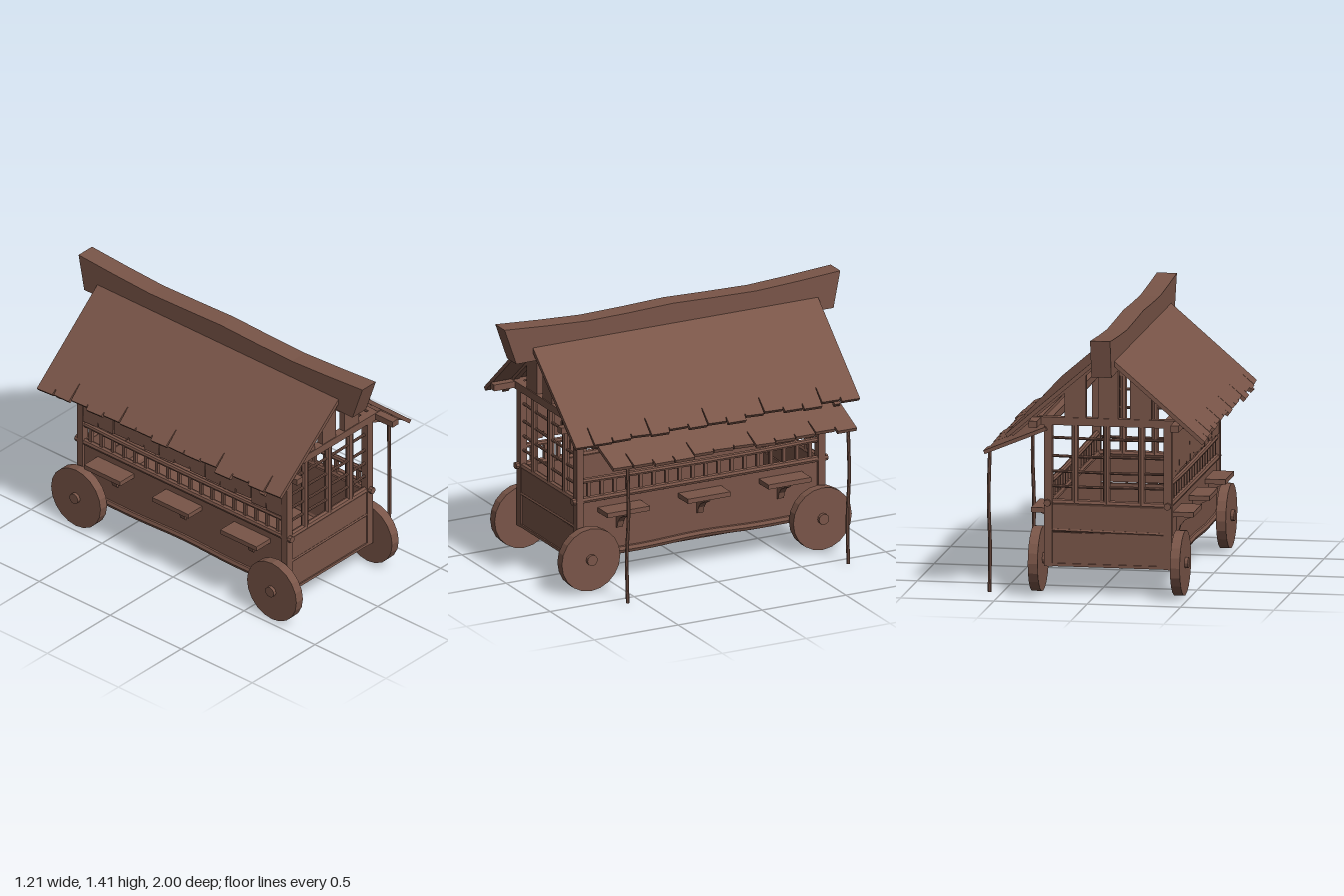
import * as THREE from 'three';

const wood = new THREE.MeshStandardMaterial({ color: 0x795548, flatShading: true });
wood.name = 'brown wood';

let seed = 7;
const rand = () => (seed = (seed * 16807) % 2147483647) / 2147483647;

function add(parent, name, geometry, x = 0, y = 0, z = 0) {
  const mesh = new THREE.Mesh(geometry, wood);
  mesh.name = name;
  mesh.position.set(x, y, z);
  parent.add(mesh);
  return mesh;
}

const box = (parent, name, w, h, d, x, y, z) =>
  add(parent, name, new THREE.BoxGeometry(w, h, d), x, y, z);

// Round pole between two points
function log(parent, name, a, b, r, sides = 8) {
  const p = new THREE.Vector3(...a), q = new THREE.Vector3(...b);
  const mesh = add(parent, name, new THREE.CylinderGeometry(r, r, p.distanceTo(q), sides));
  mesh.position.copy(p).add(q).multiplyScalar(0.5);
  mesh.quaternion.setFromUnitVectors(new THREE.Vector3(0, 1, 0), q.sub(p).normalize());
  return mesh;
}

// Slightly bent pole through several points
function bentLog(parent, name, points, r) {
  const curve = new THREE.CatmullRomCurve3(points.map(p => new THREE.Vector3(...p)));
  return add(parent, name, new THREE.TubeGeometry(curve, 16, r, 8));
}

// Plank sheet running along z, falling from (x0,y0) to (x1,y1), with a ragged lower edge
function sheet(parent, name, x0, y0, x1, y1, z0, z1, planks, ragged, thick) {
  const length = Math.hypot(x1 - x0, y1 - y0);
  const shape = new THREE.Shape();
  shape.moveTo(z0, 0);
  const w = (z1 - z0) / planks;
  for (let i = 0; i < planks; i++) {
    const a = z0 + i * w, l = length - ragged * rand();
    shape.lineTo(a + 0.002, l);
    shape.lineTo(a + w - 0.006, l - 0.006 * rand());
    // open joint between neighbouring planks
    if (i < planks - 1) {
      const slot = i % 3 === 1 ? 0.12 : 0.04;
      shape.lineTo(a + w - 0.005, length - slot);
      shape.lineTo(a + w - 0.001, length - slot);
    }
  }
  shape.lineTo(z1, 0);
  const geo = new THREE.ExtrudeGeometry(shape, { depth: thick, bevelEnabled: false });
  geo.translate(0, 0, -thick / 2);
  const along = new THREE.Vector3(0, 0, 1);
  const down = new THREE.Vector3((x1 - x0) / length, (y1 - y0) / length, 0);
  const normal = new THREE.Vector3().crossVectors(along, down);
  geo.applyMatrix4(new THREE.Matrix4().makeBasis(along, down, normal));
  return add(parent, name, geo, x0, y0, 0);
}

function extrudeXY(points, depth) {
  const shape = new THREE.Shape(points.map(p => new THREE.Vector2(...p)));
  return new THREE.ExtrudeGeometry(shape, { depth, bevelEnabled: false }).translate(0, 0, -depth / 2);
}

export function createModel() {
  const model = new THREE.Group();
  model.name = 'marketWagon';
  const cart = new THREE.Group();
  cart.name = 'cart';
  cart.position.set(-0.067, 0, -0.018);
  model.add(cart);

  box(cart, 'floor', 0.62, 0.02, 1.44, 0, 0.168, 0);

  // Long sides
  for (const s of [-1, 1]) {
    box(cart, 'sideWall', 0.03, 0.32, 1.42, s * 0.31, 0.33, 0);
    bentLog(cart, 'bottomRail',
      [[s * 0.315, 0.185, -0.72], [s * 0.315, 0.18, -0.35], [s * 0.315, 0.19, 0], [s * 0.315, 0.178, 0.35], [s * 0.315, 0.185, 0.72]], 0.025);
    log(cart, 'sillRail', [s * 0.322, 0.492, -0.76], [s * 0.322, 0.492, 0.76], 0.019);
    bentLog(cart, 'handRail',
      [[s * 0.318, 0.598, -0.72], [s * 0.318, 0.59, -0.3], [s * 0.318, 0.592, 0.3], [s * 0.318, 0.598, 0.72]], 0.016);
    for (let i = 0; i < 18; i++)
      box(cart, 'baluster', 0.018, 0.1, 0.02, s * 0.318, 0.54, -0.66 + i * 1.32 / 17);
    box(cart, 'topPlate', 0.04, 0.04, 1.44, s * 0.32, 0.93, 0);
    box(cart, 'purlin', 0.045, 0.035, 1.73, s * 0.38, 0.932, 0);

    // Fold-out counters on curved brackets
    for (const z of [-0.48, 0, 0.48]) {
      box(cart, 'counter', 0.11, 0.026, 0.255, s * 0.38, 0.425, z);
      const bracket = [[0.32, 0.305], [0.335, 0.31], [0.345, 0.345], [0.37, 0.375], [0.41, 0.395], [0.42, 0.414], [0.32, 0.414]]
        .map(([x, y]) => [s * x, y]);
      add(cart, 'counterBracket', extrudeXY(bracket, 0.035), 0, 0, z);
    }

    // Roof slope
    sheet(cart, 'roof', 0, 1.315, s * 0.533, 0.856, -0.85, 0.85, 15, 0.03, 0.022);
  }

  // Both ends
  for (const e of [-1, 1]) {
    const z = e * 0.72;
    for (const s of [-1, 1]) {
      box(cart, 'cornerPost', 0.045, 0.79, 0.04, s * 0.32, 0.545, z);
      // rafter under the roof edge
      const rafter = box(cart, 'rafter', 0.68, 0.022, 0.035, s * 0.258, 1.072, z);
      rafter.rotation.z = -s * Math.atan2(0.459, 0.533);
    }
    box(cart, 'lowerEndBoard', 0.6, 0.165, 0.025, 0, 0.25, z);
    box(cart, 'upperEndBoard', 0.6, 0.145, 0.03, 0, 0.413, z);
    log(cart, 'endBoardBatten', [-0.3, 0.338, z + e * 0.012], [0.3, 0.345, z + e * 0.012], 0.009, 6);
    box(cart, 'endBottomStrip', 0.6, 0.016, 0.04, 0, 0.16, z);
    log(cart, 'endSill', [-0.3, 0.488, z], [0.3, 0.492, z], 0.02);
    box(cart, 'tieBeam', 0.87, 0.042, 0.045, 0, 0.931, z);

    // Lattice
    [-0.178, 0.008, 0.178].forEach(x => log(cart, 'latticeBar', [x, 0.49, z], [x, 0.92, z], 0.02));
    [0.58, 0.66, 0.742, 0.84].forEach((y, i) =>
      bentLog(cart, 'latticeRod', [[-0.305, y, z], [-0.1, y - 0.004 * (i % 2), z], [0.1, y - 0.003, z], [0.305, y, z]], 0.008));

    // Gable planks cut to the roof slope
    const top = x => 1.285 - 0.861 * Math.abs(x);
    for (const [a, b] of [[-0.233, -0.118], [-0.055, 0.052], [0.118, 0.233]])
      add(cart, 'gablePlank', extrudeXY([[a, 0.94], [b, 0.94], [b, top(b)], [a, top(a)]], 0.035), 0, 0, z);

    // Wheels and axle
    const wz = e * 0.69;
    log(cart, 'axle', [-0.425, 0.185, wz], [0.425, 0.185, wz], 0.03, 12);
    for (const s of [-1, 1])
      log(cart, 'wheel', [s * 0.355, 0.183, wz], [s * 0.407, 0.183, wz], 0.174, 20);
  }

  // Closed shutter on one side
  sheet(cart, 'closedShutter', -0.322, 0.92, -0.332, 0.618, -0.7, 0.7, 13, 0.025, 0.016);

  // Sagging ridge beam with slanted ends, profile drawn along z
  const ridge = extrudeXY([[-0.96, 1.21], [-0.5, 1.215], [0, 1.225], [0.5, 1.215], [0.93, 1.21],
    [1, 1.412], [0.75, 1.395], [0.5, 1.382], [0.25, 1.387], [0, 1.396], [-0.25, 1.388], [-0.5, 1.382], [-0.75, 1.395], [-1, 1.412]], 0.107);
  ridge.rotateY(-Math.PI / 2);
  add(model, 'ridgeBeam', ridge, -0.069, 0, 0);

  // Open awning on two thin props
  sheet(model, 'awning', 0.26, 0.892, 0.597, 0.752, -0.78, 0.67, 12, 0.025, 0.02);
  for (const z of [0.575, -0.74])
    bentLog(model, 'awningProp', [[0.57, 0, z], [0.568, 0.25, z + 0.004], [0.574, 0.5, z - 0.003], [0.568, 0.76, z]], 0.01);

  return model;
}
